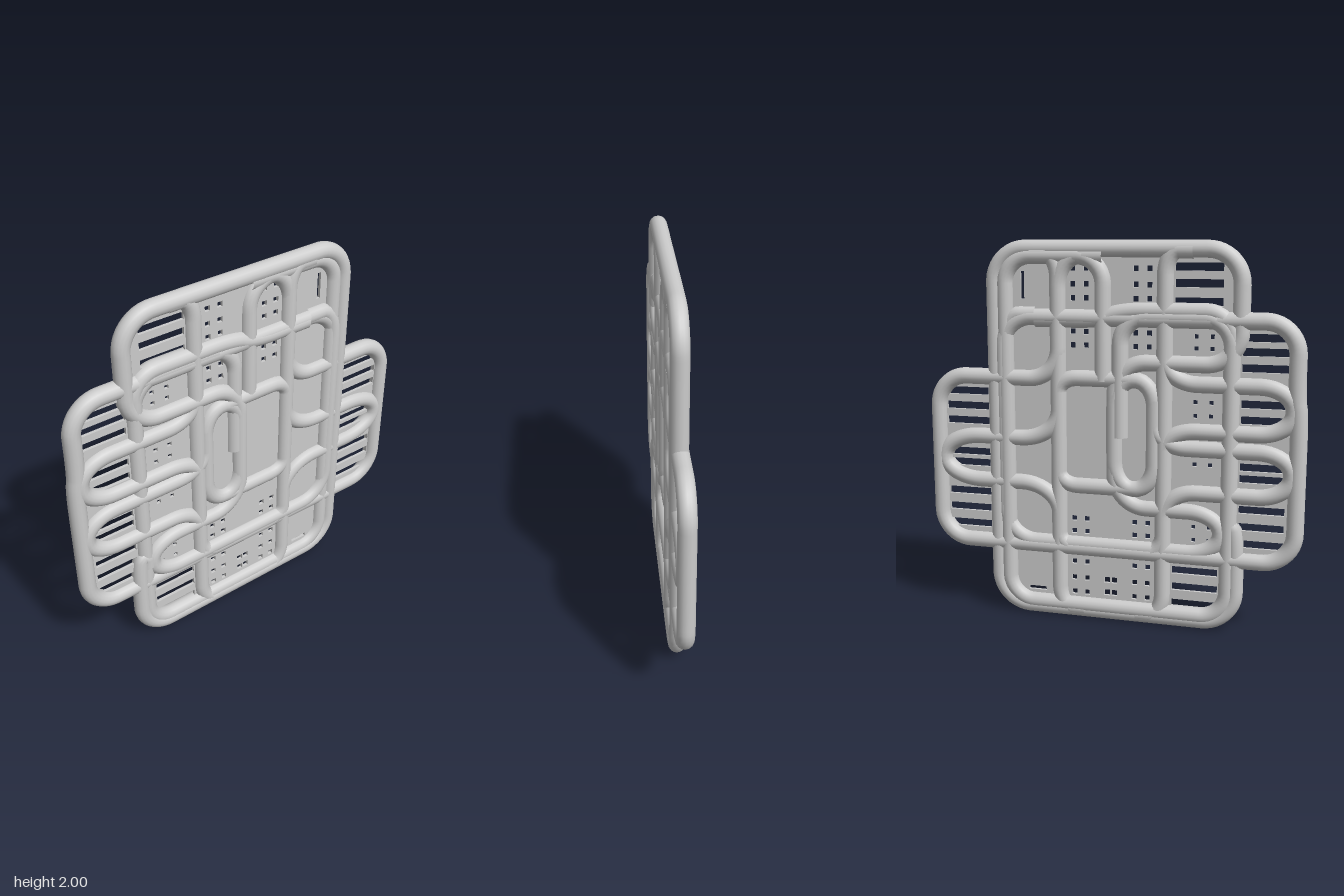
import * as THREE from 'three';

const R = 0.044;
const material = new THREE.MeshStandardMaterial({ color: 0xcccccc, side: THREE.DoubleSide });

// Polyline with rounded corners, swept as a pipe
function pipe(name, points, radius = 0.15, z = 0, closed = false) {
  const p = points.map(([x, y]) => new THREE.Vector3(x, y, z));
  if (closed) {
    const mid = p[0].clone().lerp(p[p.length - 1], 0.5);
    p.unshift(mid);
    p.push(mid.clone());
  }
  const path = new THREE.CurvePath();
  let from = p[0];
  for (let i = 1; i < p.length - 1; i++) {
    const a = p[i].distanceTo(p[i - 1]), b = p[i].distanceTo(p[i + 1]);
    const ra = Math.min(radius, a * 0.48), rb = Math.min(radius, b * 0.48);
    const start = p[i].clone().lerp(p[i - 1], ra / a);
    const end = p[i].clone().lerp(p[i + 1], rb / b);
    path.add(new THREE.LineCurve3(from, start));
    // Handles at 0.55 give a near-circular bend
    path.add(new THREE.CubicBezierCurve3(start, start.clone().lerp(p[i], 0.55), end.clone().lerp(p[i], 0.55), end));
    from = end;
  }
  path.add(new THREE.LineCurve3(from, p[p.length - 1]));
  const steps = Math.ceil(path.getLength() / 0.025);
  const mesh = new THREE.Mesh(new THREE.TubeGeometry(path, steps, R, 16, closed), material);
  mesh.name = name;
  return mesh;
}

function rectHole(x0, y0, x1, y1) {
  const h = new THREE.Path();
  h.moveTo(x0, y0).lineTo(x0, y1).lineTo(x1, y1).lineTo(x1, y0).closePath();
  return h;
}

// Thin cross-shaped sheet behind the pipes, pierced by slots and small square holes
function panel() {
  const outline = [
    [-0.58, 0.06], [0.54, 0.06], [0.61, 0.13], [0.61, 0.39], [0.87, 0.39], [0.95, 0.47], [0.95, 1.21],
    [0.87, 1.29], [0.61, 1.29], [0.61, 1.87], [0.54, 1.94], [-0.58, 1.94], [-0.65, 1.87], [-0.65, 1.61],
    [-0.86, 1.61], [-0.94, 1.53], [-0.94, 0.47], [-0.86, 0.39], [-0.65, 0.39], [-0.65, 0.13],
  ];
  const shape = new THREE.Shape(outline.map(([x, y]) => new THREE.Vector2(x, y)));
  const slots = (x0, x1, ys) => ys.forEach((y) => shape.holes.push(rectHole(x0, y - 0.02, x1, y + 0.02)));
  slots(-0.9, -0.67, [0.48, 0.57, 0.66, 0.82, 0.88, 1.12, 1.2, 1.38, 1.46, 1.53]);
  slots(0.67, 0.91, [0.48, 0.57, 0.66, 0.82, 0.88, 1.05, 1.13, 1.21]);
  slots(-0.57, -0.33, [0.13, 0.22, 0.31, 1.7, 1.79, 1.87]);
  const squares = (xs, ys, s) => {
    for (const x of xs) for (const y of ys) shape.holes.push(rectHole(x - s, y - s, x + s, y + s));
  };
  squares([-0.52, -0.44], [0.48, 0.55, 0.88, 1.13, 1.2, 1.47, 1.53], 0.011);
  squares([-0.2, -0.13, 0.13, 0.2], [0.14, 0.22, 0.31, 0.48, 0.55, 1.47, 1.54, 1.71, 1.78, 1.86], 0.014);
  squares([-0.02, 0.02], [0.15, 0.22], 0.016);
  // Slivers in the upper and lower right corners
  shape.holes.push(rectHole(0.46, 1.7, 0.48, 1.84), rectHole(0.36, 0.13, 0.46, 0.15));
  const geometry = new THREE.ExtrudeGeometry(shape, { depth: 0.016, bevelEnabled: false });
  geometry.translate(0, 0, -0.008);
  const mesh = new THREE.Mesh(geometry, material);
  mesh.name = 'piercedPanel';
  return mesh;
}

export function createModel() {
  const model = new THREE.Group();
  model.name = 'wovenPipeGrille';
  model.add(panel());

  // Long continuous frames
  model.add(
    pipe('tallFrame', [
      [-0.61, 0.5], [-0.61, 0.58], [-0.66, 0.56], [-0.66, 0.045], [0.625, 0.045], [0.625, 1.955],
      [-0.66, 1.955], [-0.66, 1.39], [-0.02, 1.39], [-0.02, 0.63], [-0.58, 0.63], [-0.58, 0.41],
      [0.58, 0.41], [0.58, 1.62], [0.4, 1.62],
    ], 0.17, 0.002),
    pipe('innerFrame', [
      [-0.05, 1.0], [-0.05, 1.62], [-0.62, 1.62], [-0.62, 0.07], [0.565, 0.07],
      [0.565, 1.92], [0.04, 1.92], [0.04, 1.29],
    ], 0.14, -0.003),
    pipe('wideFrame', [
      [0.58, 1.3], [0.58, 1.61], [-0.94, 1.61], [-0.94, 1.22], [-0.956, 1.18], [-0.956, 0.39],
      [0.956, 0.39], [0.956, 1.29], [0.28, 1.29], [0.28, 1.92], [0.04, 1.92],
    ], 0.16, -0.002),
    pipe('upperBand', [[-0.62, 1.4], [-0.62, 1.65], [-0.05, 1.65], [0.05, 1.6], [0.4, 1.6]], 0.13),
  );

  // Vertical bars whose ends bend into the outer frame
  model.add(
    pipe('leftBar', [[-0.42, 1.95], [-0.28, 1.95], [-0.28, 0.05], [-0.14, 0.05]], 0.12),
    pipe('rightBar', [[0.42, 1.93], [0.28, 1.93], [0.28, 0.05], [0.14, 0.05]], 0.12),
  );

  // Side loops with tails that sweep into the vertical bars
  model.add(
    pipe('upperLeftLoop', [[-0.28, 1.55], [-0.28, 1.29], [-0.93, 1.29], [-0.93, 1.05], [-0.28, 1.05], [-0.28, 0.85]], 0.17),
    pipe('lowerLeftLoop', [[-0.23, 1.2], [-0.23, 0.96], [-0.93, 0.96], [-0.93, 0.73], [-0.28, 0.73], [-0.28, 0.45]], 0.17),
    pipe('rightLoop', [[0.28, 1.3], [0.28, 0.97], [0.93, 0.97], [0.93, 0.73], [0.28, 0.73], [0.28, 0.4]], 0.21),
  );

  // Central oblong ring and its side arms
  model.add(
    pipe('centralRing', [[-0.23, 0.73], [-0.02, 0.73], [-0.02, 1.3], [-0.23, 1.3]], 0.14, 0, true),
    pipe('upperArm', [[-0.1, 1.3], [0.28, 1.3], [0.28, 1.15]], 0.1),
    pipe('lowerArm', [[-0.12, 0.73], [0.28, 0.73], [0.28, 0.88]], 0.1),
    pipe('innerBottomBar', [[-0.28, 0.6], [-0.28, 0.39], [0.28, 0.39], [0.28, 0.55]], 0.1),
  );
  return model;
}
